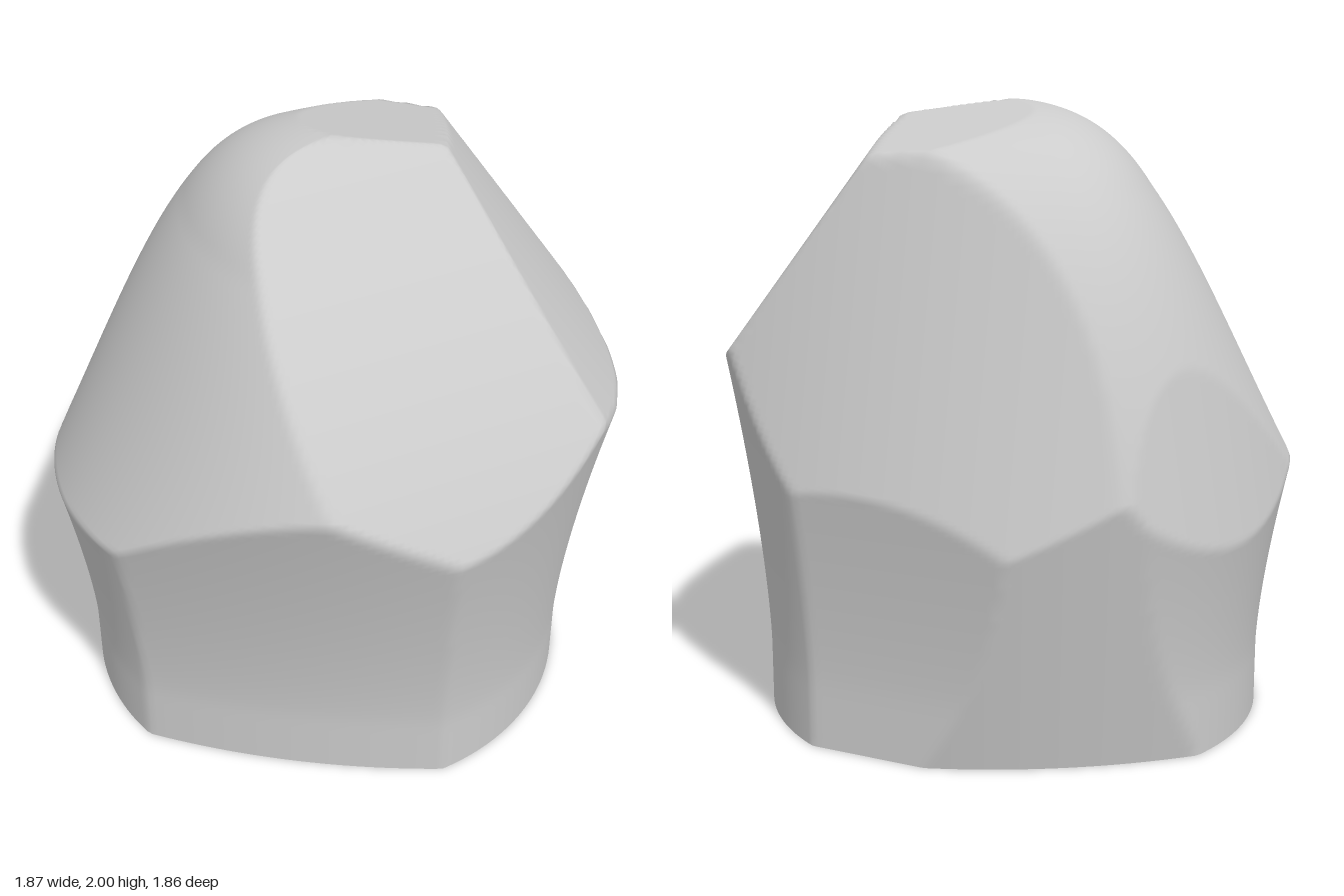
import * as THREE from 'three';

const dot = (p, x, y, z) => p.x * x + p.y * y + p.z * z;
const flare = (y) => Math.pow(Math.max(0, y - 0.2), 1.5);

// Each rule is negative inside its face; the solid is where all are negative.
const faces = [
  // round wall of the column, flaring upwards
  (p) => {
    const r = Math.hypot(p.x, p.z) || 1e-6, sx = p.x / r, sz = p.z / r;
    return r - (0.825 - 0.02 * sx - 0.02 * sz) - (0.15 - 0.03 * sx + 0.03 * sz * sz) * flare(p.y);
  },
  // gently bowed cuts on the column: front, back right, back
  (p) => dot(p, -0.58, 0, 0.81) - 0.69 - 0.2 * flare(p.y) + 0.17 * dot(p, 0.81, 0, 0.58) ** 2,
  (p) => dot(p, 0.68, 0, -0.73) - 0.74 - 0.13 * flare(p.y),
  (p) => dot(p, 0.287, 0, -0.958) - 0.71 - 0.22 * p.y + 0.25 * dot(p, 0.958, 0, 0.287) ** 2,
  // sloping front facet, bowed along its slope
  (p) => {
    const y = p.y - 2, z = p.z - 0.05;
    const u = (-0.755 * y + 0.65 * z) / 0.69 - 1;
    return -0.09 * (p.x + 0.03) + 0.65 * y + 0.755 * z - 0.09 * (1 - u * u);
  },
  // facet on the +x side
  (p) => dot(p, 0.74, 0.595, 0.318) - 1.435 + 0.15 * dot(p, -0.395, 0, 0.919) ** 2,
  // steep back facet on the +x side, bowed sideways
  (p) => dot(p, 0.61, 0.248, -0.752) - 0.99 + 0.21 * (dot(p, 0.777, 0, 0.63) - 0.07) ** 2,
  // small tilted facet at the top
  (p) => dot(p, 0.194, 1, -0.136) - 1.987,
  // low back facet on the -x side
  (p) => dot(p, -0.437, 0, -0.9) - 0.815 - 0.2 * (1.2 - p.y) + 0.25 * (dot(p, -0.9, 0, 0.437) + 0.1) ** 2,
  // domed shoulder on the -x side
  (p) => {
    const squash = 1 + 0.3 * THREE.MathUtils.clamp((p.y - 0.83) / 0.9, 0, 1);
    const x = p.x * (p.x > 0 ? 0.5 : squash), z = p.z * (p.z > 0 ? 0.95 : 1);
    const q = x * x + z * z;
    return p.y - 2 + 0.07 * (0.05 - p.z) + 0.4 * q + 0.95 * q * q;
  },
];

// Walk out from a point on the axis to the first face reached.
function surfacePoint(height, dir) {
  const p = new THREE.Vector3();
  const inside = (t) => {
    p.copy(dir).multiplyScalar(t);
    p.y += height;
    return faces.every((f) => f(p) < 0);
  };
  let lo = 0, hi = 0;
  while (hi < 2 && inside(hi)) { lo = hi; hi += 0.1; }
  for (let i = 0; i < 16; i++) {
    const mid = (lo + hi) / 2;
    if (inside(mid)) lo = mid; else hi = mid;
  }
  p.copy(dir).multiplyScalar(lo);
  p.y += height;
  return p;
}

function shellGeometry() {
  const around = 240, wallRows = 16, domeRows = 100, centre = 0.5;
  const rows = wallRows + domeRows;
  const positions = [], index = [];
  for (let j = 0; j < rows; j++) {
    const height = Math.min(j / wallRows, 1) * centre;
    const lift = Math.max(0, (j - wallRows) / domeRows) * Math.PI / 2;
    for (let i = 0; i < around; i++) {
      const a = (i / around) * Math.PI * 2;
      const dir = new THREE.Vector3(
        Math.cos(a) * Math.cos(lift), Math.sin(lift), -Math.sin(a) * Math.cos(lift));
      positions.push(...surfacePoint(height, dir).toArray());
    }
  }
  positions.push(...surfacePoint(centre, new THREE.Vector3(0, 1, 0)).toArray());
  const pole = rows * around;
  for (let j = 0; j < rows; j++) {
    for (let i = 0; i < around; i++) {
      const a = j * around + i, b = j * around + (i + 1) % around;
      if (j === rows - 1) index.push(a, b, pole);
      else index.push(a, b, b + around, a, b + around, a + around);
    }
  }
  const geometry = new THREE.BufferGeometry();
  geometry.setAttribute('position', new THREE.Float32BufferAttribute(positions, 3));
  geometry.setIndex(index);
  geometry.computeVertexNormals();
  return geometry;
}

export function createModel() {
  const group = new THREE.Group();
  group.name = 'facetedCap';
  // thin shell, open at the base
  const shell = new THREE.Mesh(
    shellGeometry(),
    new THREE.MeshStandardMaterial({ color: 0xcccccc, side: THREE.DoubleSide }));
  shell.name = 'shell';
  group.add(shell);
  return group;
}
